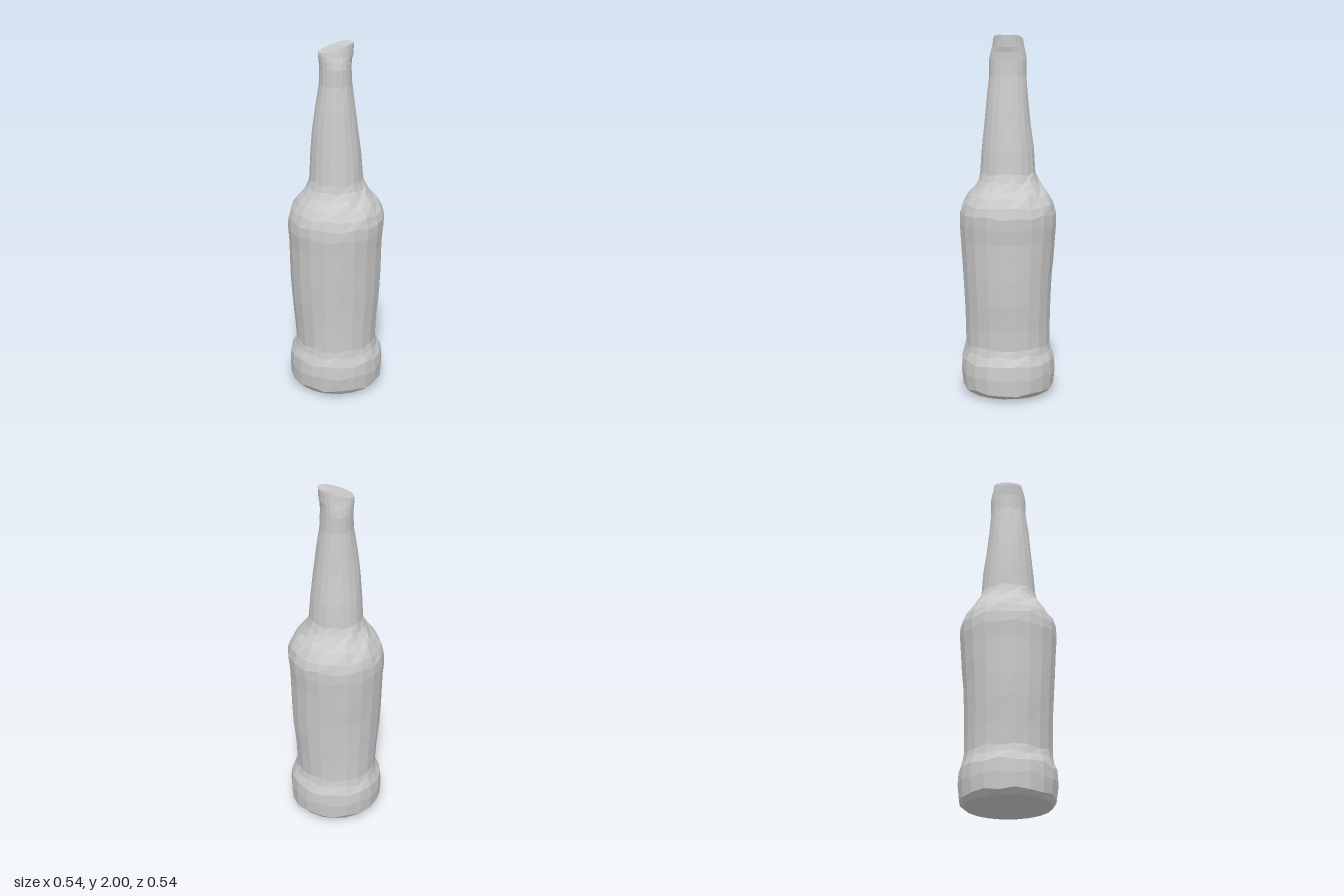
import * as THREE from 'three';

const SIDES = 20;

// Rings of the bottle: height, left, right, back and front extents
const RINGS = [
  [0.008, 0.13, 0.13, 0.13, 0.13],
  [0.018, 0.235, 0.235, 0.235, 0.235],
  [0.045, 0.262, 0.262, 0.258, 0.255],
  [0.13, 0.267, 0.266, 0.266, 0.266],
  [0.2, 0.262, 0.26, 0.262, 0.262],
  [0.25, 0.238, 0.235, 0.243, 0.246],
  [0.29, 0.229, 0.226, 0.236, 0.24],
  [0.4, 0.237, 0.231, 0.236, 0.241],
  [0.48, 0.245, 0.239, 0.238, 0.243],
  [0.55, 0.252, 0.246, 0.24, 0.246],
  [0.68, 0.259, 0.252, 0.246, 0.254],
  [0.78, 0.261, 0.254, 0.255, 0.26],
  [0.88, 0.263, 0.256, 0.262, 0.266],
  [0.97, 0.27, 0.265, 0.269, 0.272],
  [1.03, 0.265, 0.268, 0.268, 0.269],
  [1.08, 0.247, 0.254, 0.255, 0.254],
  [1.13, 0.217, 0.224, 0.227, 0.222],
  [1.17, 0.185, 0.191, 0.195, 0.187],
  [1.21, 0.161, 0.163, 0.168, 0.164],
  [1.25, 0.148, 0.147, 0.152, 0.156],
  [1.38, 0.142, 0.137, 0.143, 0.146],
  [1.52, 0.132, 0.12, 0.124, 0.132],
  [1.65, 0.115, 0.103, 0.111, 0.12],
  [1.78, 0.093, 0.085, 0.1, 0.104],
  [1.87, 0.09, 0.081, 0.102, 0.104],
  [1.91, 0.094, 0.083, 0.096, 0.096],
  [1.935, 0.097, 0.09, 0.089, 0.088],
  [1.975, 0.095, 0.094, 0.082, 0.08],
];

// Lopsided round section; the mouth tilts up towards +x
function ringPoint([y, left, right, back, front], i, level) {
  const a = (i / SIDES) * Math.PI * 2;
  const c = Math.cos(a), s = Math.sin(a);
  const x = c * (c > 0 ? right : left);
  const z = s * (s > 0 ? front : back);
  let h = y;
  if (level === RINGS.length - 1) h = Math.min(2, 1.978 + x * 0.32);
  else if (level > 1 && level < 24) h += 0.008 * Math.sin(i * 2.4 + level * 1.7);
  return [x, h, z];
}

function createBottleGeometry() {
  const pos = [], index = [];
  RINGS.forEach((ring, level) => {
    for (let i = 0; i < SIDES; i++) pos.push(...ringPoint(ring, i, level));
  });
  for (let level = 0; level < RINGS.length - 1; level++) {
    for (let i = 0; i < SIDES; i++) {
      const j = (i + 1) % SIDES;
      const a = level * SIDES + i, b = level * SIDES + j;
      index.push(a, a + SIDES, b, b, a + SIDES, b + SIDES);
    }
  }
  // Underside and closed mouth
  const bottom = pos.length / 3, top = bottom + 1;
  const last = (RINGS.length - 1) * SIDES;
  pos.push(0, 0, 0, 0, 1.978, 0);
  for (let i = 0; i < SIDES; i++) {
    const j = (i + 1) % SIDES;
    index.push(bottom, i, j, top, last + j, last + i);
  }
  const geo = new THREE.BufferGeometry();
  geo.setAttribute('position', new THREE.Float32BufferAttribute(pos, 3));
  geo.setIndex(index);
  geo.computeVertexNormals();
  return geo;
}

export function createModel() {
  const group = new THREE.Group();
  group.name = 'bottle';
  const glass = new THREE.MeshStandardMaterial({ color: 0xcccccc, flatShading: true });
  const body = new THREE.Mesh(createBottleGeometry(), glass);
  body.name = 'bottleBody';
  group.add(body);
  return group;
}
